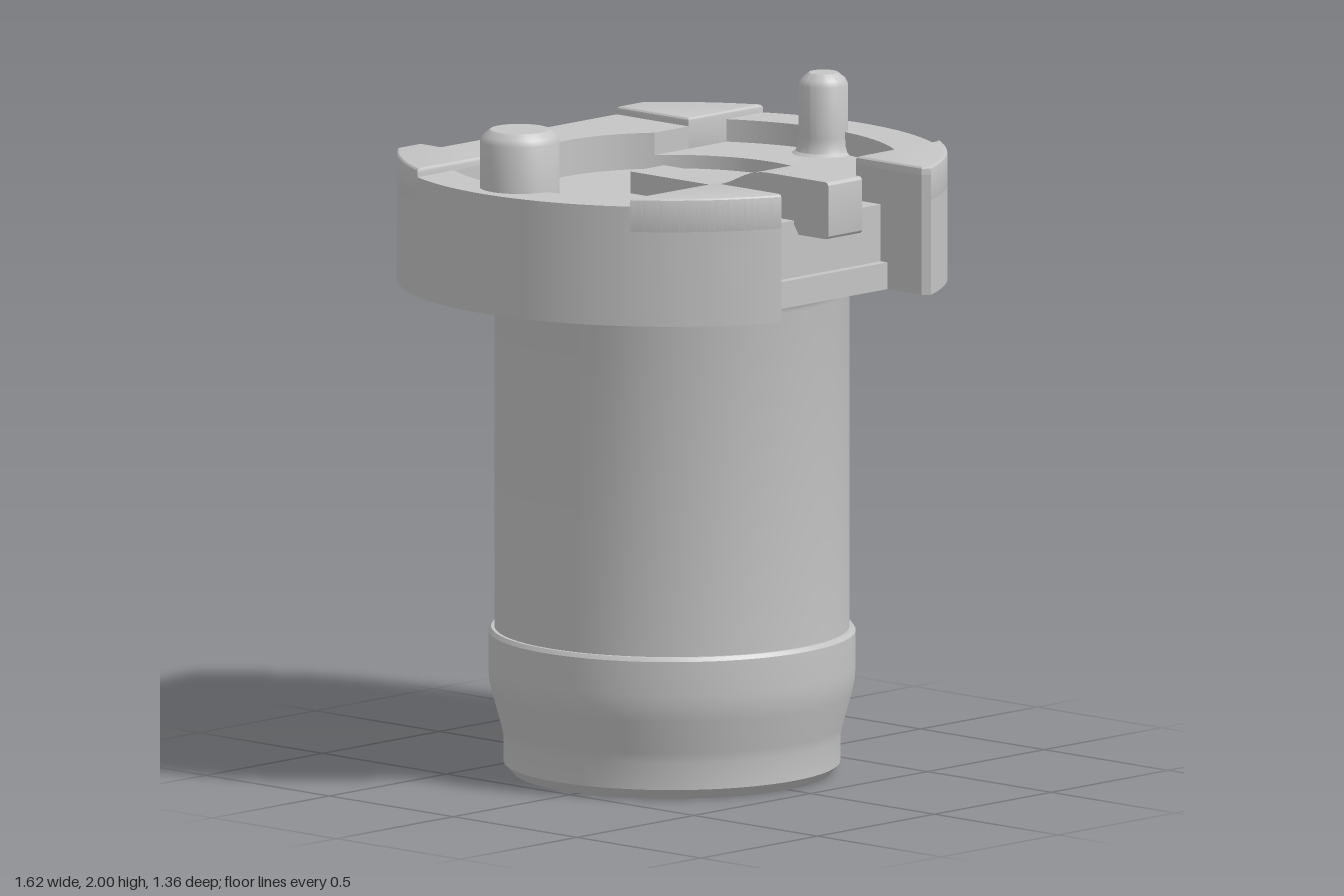
import * as THREE from 'three';
import { toCreasedNormals } from 'three/addons/utils/BufferGeometryUtils.js';

const C = -0.06;       // z of the main axis
const R = 0.81;        // head radius
const KEY = 0.43;      // keyhole radius
const RIM = 0.67;      // inner radius of the raised rim
const SLOT = 0.3;      // half width of the front slot
const BACK = -0.68;    // flat back of the head
const PI = Math.PI;

export function createModel() {
  const group = new THREE.Group();
  const grey = new THREE.MeshStandardMaterial({ color: 0xc5c5c5 });
  grey.name = 'light grey metal';

  const add = (name, geometry, x = 0, y = 0, z = 0) => {
    const mesh = new THREE.Mesh(toCreasedNormals(geometry, 0.5), grey);
    mesh.name = name;
    mesh.position.set(x, y, z);
    group.add(mesh);
  };

  // Plan-view shape (x, z) extruded between two heights
  const slab = (name, shape, y0, y1, bevel = 0) => {
    const geometry = new THREE.ExtrudeGeometry(shape, {
      depth: y1 - y0 - 2 * bevel, curveSegments: 64,
      bevelEnabled: bevel > 0, bevelSize: bevel, bevelThickness: bevel,
      bevelOffset: -bevel, bevelSegments: 3,
    });
    geometry.rotateX(PI / 2);
    add(name, geometry, 0, y1 - bevel, 0);
  };

  const lathe = (name, points, x, z) => add(name,
    new THREE.LatheGeometry(points.map(([r, y]) => new THREE.Vector2(r, y)), 64), x, 0, z);

  // Outer head outline, from the left front tip round the back to the right one
  const aFront = Math.acos(0.32 / R);
  const aBack = Math.asin((BACK - C) / R);
  const zTip = C + R * Math.sin(aFront);
  const headOutline = () => {
    const s = new THREE.Shape();
    s.moveTo(SLOT, 0.665);
    s.lineTo(0.32, zTip);
    s.absarc(0, C, R, aFront, aBack, true);
    s.absarc(0, C, R, PI - aBack, PI - aFront, true);
    s.lineTo(-SLOT, 0.665);
    return s;
  };

  // Hollow barrel with swollen lower collar
  lathe('barrel', [
    [0, 1.4], [0.375, 1.4], [0.375, 0.05], [0.405, 0], [0.468, 0], [0.495, 0.03],
    [0.495, 0.11], [0.502, 0.14], [0.53, 0.24], [0.538, 0.28], [0.54, 0.32],
    [0.54, 0.42], [0.532, 0.432], [0.522, 0.432], [0.522, 1.44], [0.527, 1.46], [0.54, 1.475],
  ], 0, C);

  // Rounded centre pin inside the barrel
  lathe('centrePin', [[0, 0.12], [0.03, 0.128], [0.065, 0.19], [0.065, 1.41]], 0, C);

  // Solid base of the head; its top is the keyhole floor
  const base = headOutline();
  base.lineTo(-SLOT, 0.5);
  base.lineTo(SLOT, 0.5);
  slab('headBase', base, 1.47, 1.72);

  // Sill at the foot of the front slot
  add('slotSill', new THREE.BoxGeometry(2 * SLOT, 0.08, 0.06), 0, 1.51, 0.497);

  // Recess floor around the keyhole
  const floor = headOutline();
  const aKey = Math.acos(SLOT / KEY);
  floor.absarc(0, C, KEY, PI - aKey, 2 * PI + aKey, false);
  slab('recessFloor', floor, 1.72, 1.76);

  // Raised rim with side crescents and back bridge
  const rim = headOutline();
  const aRimFront = Math.asin((0.4 - C) / RIM);
  const aRimBack = Math.asin(0.33 / RIM);
  const aBridge = Math.asin(0.33 / KEY);
  rim.lineTo(-SLOT, 0.4);
  rim.absarc(0, C, RIM, PI - aRimFront, PI + aRimBack, false);
  rim.absarc(0, C, KEY, PI + aBridge, 2 * PI - aBridge, false);
  rim.absarc(0, C, RIM, -aRimBack, aRimFront, false);
  rim.lineTo(SLOT, 0.4);
  slab('rim', rim, 1.76, 1.827);

  // Four raised corner pads
  const mirrorShape = (shape, side) => side > 0 ? shape
    : new THREE.Shape(shape.getPoints(48).map(p => new THREE.Vector2(-p.x, p.y)));
  for (const side of [1, -1]) {
    const label = side > 0 ? 'left' : 'right';
    const aPad = Math.asin((0.4 - C) / R);
    const front = new THREE.Shape();
    front.moveTo(SLOT, 0.4);
    front.lineTo(R * Math.cos(aPad), 0.4);
    front.absarc(0, C, R, aPad, aFront, false);
    front.lineTo(SLOT, 0.665);
    slab(label + 'FrontPad', mirrorShape(front, side), 1.74, 1.852, 0.012);

    const back = new THREE.Shape();
    back.moveTo(0.42, BACK);
    back.lineTo(R * Math.cos(aBack), BACK);
    back.absarc(0, C, R, aBack, Math.asin((-0.39 - C) / R), false);
    back.lineTo(0.42, -0.39);
    slab(label + 'BackPad', mirrorShape(back, side), 1.74, 1.852, 0.012);
  }

  // Locating pins with small foot fillets and chamfered tops
  for (const [name, x, r] of [['largePin', -0.652, 0.117], ['smallPin', 0.648, 0.073]]) {
    lathe(name, [
      [r + 0.022, 1.758], [r + 0.009, 1.768], [r + 0.002, 1.785], [r, 1.81],
      [r, 1.965], [r - 0.008, 1.982], [r - 0.03, 2], [0, 2],
    ], x, C);
  }

  // Stepped latch lever: side profile (z, y) extruded across x
  const lever = new THREE.Shape();
  lever.moveTo(-0.16, 1.71);
  lever.lineTo(0.5, 1.71);
  lever.lineTo(0.52, 1.68);
  lever.lineTo(0.625, 1.68);
  lever.quadraticCurveTo(0.64, 1.68, 0.64, 1.695);
  lever.lineTo(0.64, 1.835);
  lever.quadraticCurveTo(0.64, 1.85, 0.625, 1.85);
  lever.lineTo(0.4, 1.85);
  lever.bezierCurveTo(0.28, 1.85, 0.26, 1.785, 0.14, 1.785);
  lever.lineTo(-0.16, 1.785);
  const leverGeometry = new THREE.ExtrudeGeometry(lever, {
    depth: 0.144, bevelEnabled: false, curveSegments: 12,
  });
  leverGeometry.rotateY(-PI / 2);
  add('latchLever', leverGeometry, 0.072, 0, 0);

  return group;
}
